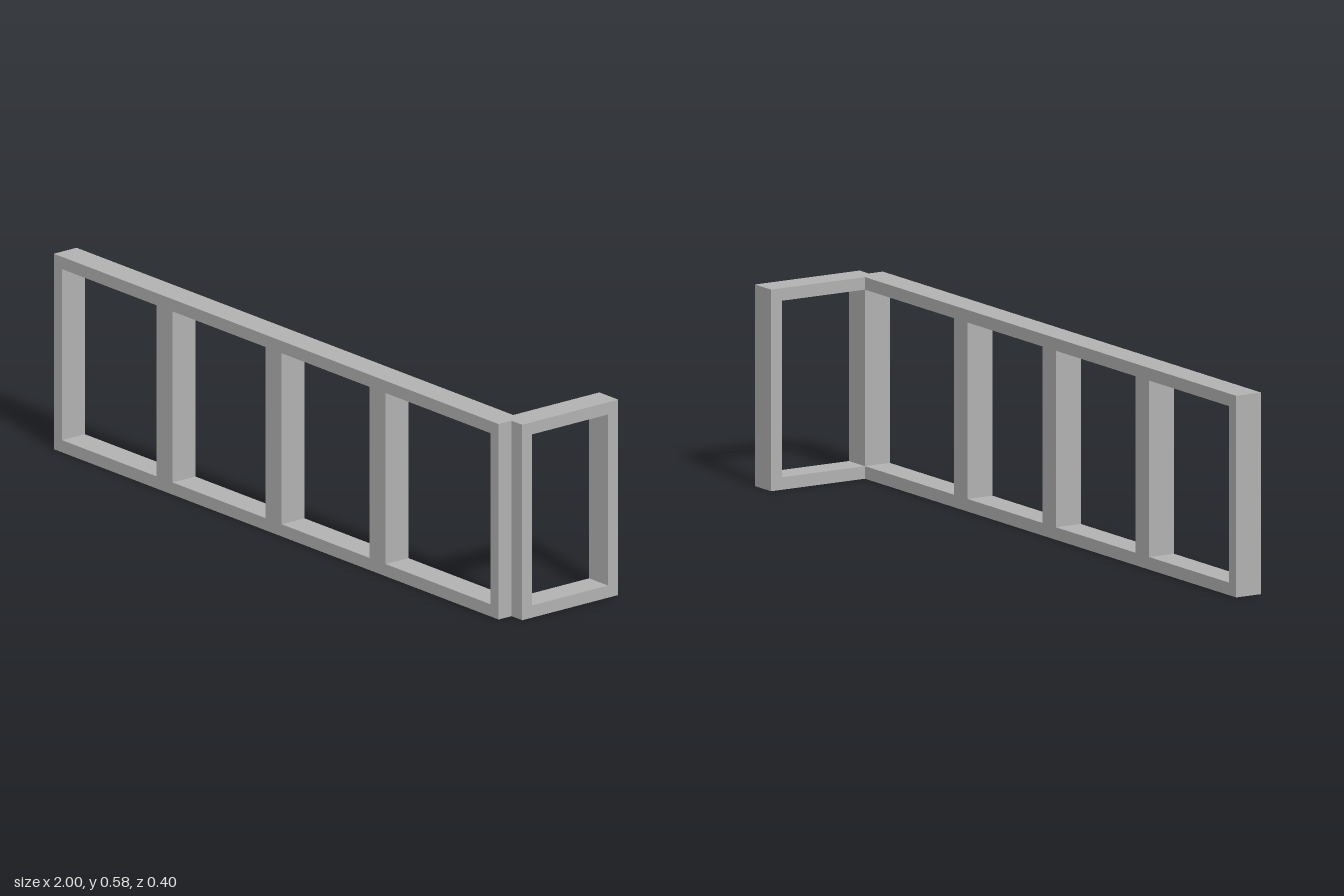
import * as THREE from 'three';

const HEIGHT = 0.577; // overall frame height
const RAIL = 0.036;   // thickness of rails and outer posts
const DEPTH = 0.083;  // depth of the frame members

// Flat frame from u0 to u1 with a rectangular opening for each [start, end] pair
function frameGeometry(u0, u1, openings) {
  const rect = (path, a, b, low, high) =>
    path.moveTo(a, low).lineTo(b, low).lineTo(b, high).lineTo(a, high).closePath();
  const shape = rect(new THREE.Shape(), u0, u1, 0, HEIGHT);
  for (const [a, b] of openings) {
    shape.holes.push(rect(new THREE.Path(), a, b, RAIL, HEIGHT - RAIL));
  }
  return new THREE.ExtrudeGeometry(shape, { depth: DEPTH, bevelEnabled: false });
}

export function createModel() {
  const model = new THREE.Group();
  model.name = 'cornerWindowFrame';
  const grey = new THREE.MeshStandardMaterial({ color: 0xb2b2b2 });
  grey.name = 'frameGrey';

  // Long front frame with four openings
  const front = new THREE.Mesh(
    frameGeometry(-1, 0.953, [[-0.964, -0.55], [-0.479, -0.07], [0, 0.387], [0.457, 0.917]]),
    grey
  );
  front.name = 'frontFrame';
  front.position.z = 0.115;
  model.add(front);

  // Short return frame, running back from the left corner
  const side = new THREE.Mesh(frameGeometry(-0.198, 0.151, [[-0.161, 0.115]]), grey);
  side.name = 'sideFrame';
  side.rotation.y = -Math.PI / 2;
  side.position.x = 1;
  model.add(side);

  return model;
}
